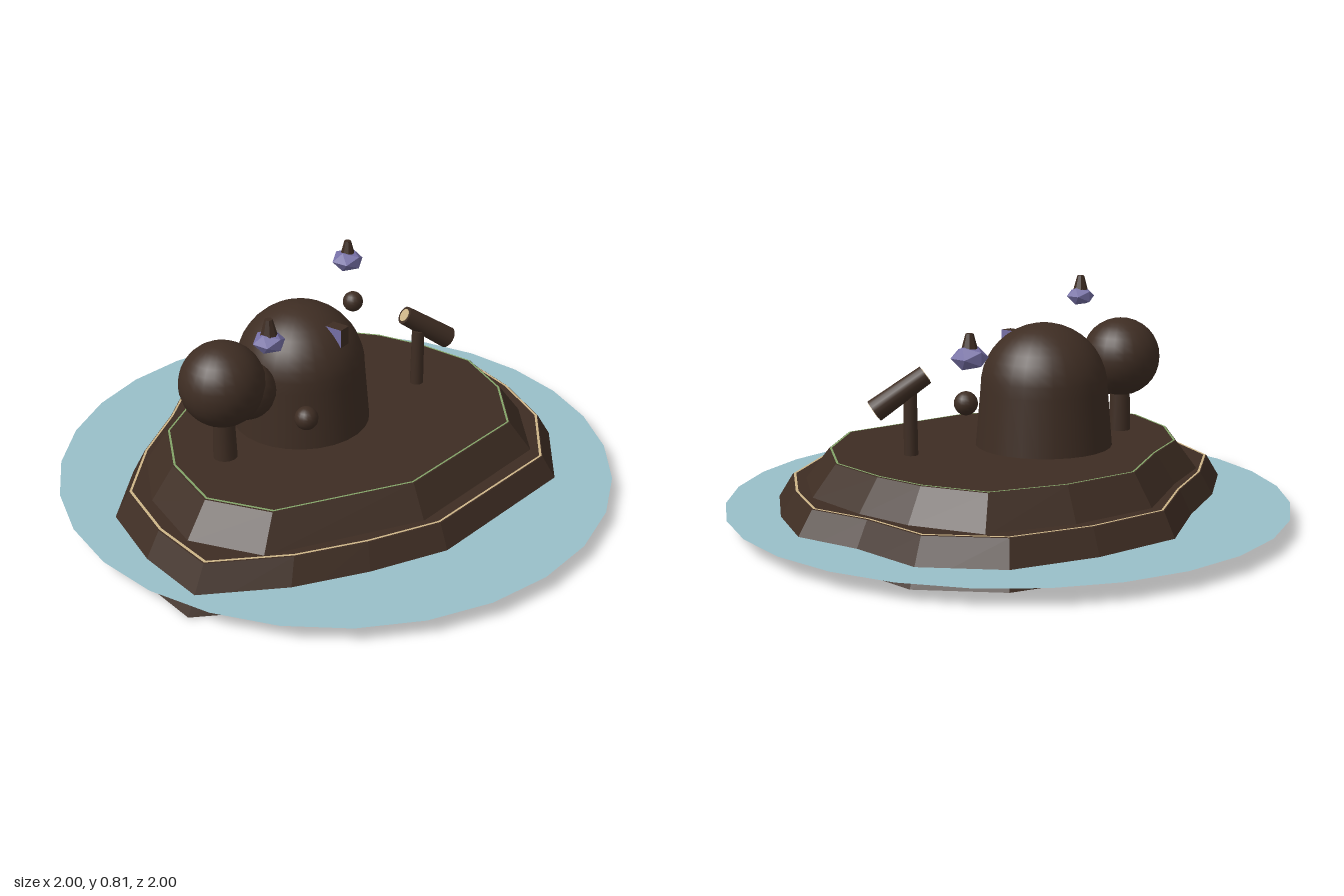
import * as THREE from 'three';

const mat = (name, color, extra = {}) => {
  const m = new THREE.MeshStandardMaterial({ color, ...extra });
  m.name = name;
  return m;
};

export function createModel() {
  const group = new THREE.Group();
  const brown = mat('dark brown', 0x3e2d23);
  const rock = mat('faceted brown', 0x3e2d23, { flatShading: true });
  const sand = mat('sand', 0xcdb588, { side: THREE.DoubleSide });
  const grass = mat('grass', 0x82a368, { side: THREE.DoubleSide });
  const violet = mat('violet', 0x7670a6, { flatShading: true });
  const water = mat('water', 0x99bfc9, { side: THREE.DoubleSide });

  const add = (name, geometry, material, x = 0, y = 0, z = 0, parent = group) => {
    const mesh = new THREE.Mesh(geometry, material);
    mesh.name = name;
    mesh.position.set(x, y, z);
    parent.add(mesh);
    return mesh;
  };

  // Skin through scaled copies of one outline; each ring is [height, scale]
  const loft = (outline, rings) => {
    const pos = [];
    const n = outline.length;
    const at = ([y, s], i) => [outline[i % n][0] * s, y, outline[i % n][1] * s];
    for (let r = 0; r < rings.length - 1; r++) {
      const lo = rings[r], hi = rings[r + 1];
      for (let i = 0; i < n; i++) {
        if (lo[1] > 0) pos.push(...at(lo, i + 1), ...at(lo, i), ...at(hi, i));
        if (hi[1] > 0) pos.push(...at(lo, i + 1), ...at(hi, i), ...at(hi, i + 1));
      }
    }
    const g = new THREE.BufferGeometry();
    g.setAttribute('position', new THREE.Float32BufferAttribute(pos, 3));
    g.computeVertexNormals();
    return g;
  };

  // Water sheet
  add('waterSheet', new THREE.CircleGeometry(1, 28).rotateX(-Math.PI / 2), water, 0, 0.083, 0);

  // Two island tiers, clockwise outlines as [x, z]
  const shore = [
    [0, -0.75], [0.31, -0.7], [0.59, -0.59], [0.77, -0.37], [0.78, -0.11], [0.835, 0.12],
    [0.74, 0.35], [0.59, 0.57], [0.32, 0.73], [-0.28, 0.645], [-0.52, 0.505], [-0.73, 0.35],
    [-0.935, 0.13], [-0.88, -0.12], [-0.765, -0.37], [-0.52, -0.52], [-0.26, -0.62],
  ];
  const plateau = [
    [0, -0.578], [0.27, -0.53], [0.51, -0.42], [0.6, -0.21], [0.625, -0.03], [0.615, 0.2],
    [0.49, 0.4], [0.28, 0.555], [-0.25, 0.49], [-0.65, 0.22], [-0.718, 0], [-0.625, -0.22],
    [-0.465, -0.39], [-0.26, -0.46],
  ];
  add('lowerTier', loft(shore, [[0.025, 0], [0.025, 1.045], [0.165, 0.94], [0.165, 0]]), rock);
  add('upperTier', loft(plateau, [[0.16, 1.14], [0.27, 1.005], [0.27, 0]]), rock);

  // Thin coloured edges
  add('sandEdge', loft(shore, [[0.167, 0.936], [0.167, 0.925]]), sand);
  add('sandUnderEdge', loft(shore, [[0.023, 1.02], [0.023, 1.032]]), sand);
  add('grassEdge', loft(plateau, [[0.272, 1.0], [0.272, 0.988]]), grass);

  // Domed hut: tapered wall running into a hemisphere
  const profile = [[0.245, 0.265], [0.227, 0.47]];
  for (let i = 1; i <= 10; i++) {
    const a = (i / 10) * Math.PI / 2;
    profile.push([0.227 * Math.cos(a), 0.475 + 0.23 * Math.sin(a)]);
  }
  const curve = profile.map(([r, y]) => new THREE.Vector2(Math.max(r, 0), y));
  add('domedHut', new THREE.LatheGeometry(curve, 28), brown, -0.1, 0, -0.08);
  add('hutLamp', new THREE.BoxGeometry(0.045, 0.065, 0.07),
    [violet, violet, brown, brown, brown, violet], -0.1, 0.632, 0.075);

  // Round tree
  add('treeTrunk', new THREE.CylinderGeometry(0.036, 0.042, 0.18, 14), brown, -0.475, 0.355, -0.12);
  add('treeCrown', new THREE.SphereGeometry(0.145, 24, 16), brown, -0.475, 0.547, -0.12);
  add('treeSideCrown', new THREE.SphereGeometry(0.1, 20, 14), brown, -0.4, 0.502, -0.08);

  // Floating balls
  for (const [x, z] of [[-0.435, 0.195], [0.39, -0.195]]) {
    add('floatingBall', new THREE.SphereGeometry(0.039, 16, 12), brown, x, 0.502, z);
  }

  // Hovering crystals with tapered caps
  for (const [x, y, z, r] of [[-0.472, 0.757, 0.08, 0.054], [0.41, 0.657, -0.235, 0.062]]) {
    const crystal = new THREE.Group();
    crystal.name = 'hoveringCrystal';
    crystal.position.set(x, y, z);
    group.add(crystal);
    add('crystalBody', new THREE.IcosahedronGeometry(r, 0).scale(1, 0.68, 1), violet, 0, 0, 0, crystal);
    add('crystalCap', new THREE.CylinderGeometry(0.013, 0.028, 0.055, 8), rock, 0, 0.05, 0, crystal);
  }

  // Telescope on a post
  add('telescopePost', new THREE.CylinderGeometry(0.023, 0.025, 0.22, 14), brown, 0.35, 0.375, 0.125);
  const eye = new THREE.Vector3(0.312, 0.55, 0.088);
  const lens = new THREE.Vector3(0.458, 0.43, 0.188);
  const length = eye.distanceTo(lens);
  const telescope = new THREE.Group();
  telescope.name = 'telescope';
  telescope.position.copy(eye).lerp(lens, 0.5);
  telescope.quaternion.setFromUnitVectors(
    new THREE.Vector3(0, 1, 0), lens.clone().sub(eye).normalize());
  group.add(telescope);
  add('telescopeTube', new THREE.CylinderGeometry(0.04, 0.034, length, 16), brown, 0, 0, 0, telescope);
  add('telescopeLens', new THREE.CylinderGeometry(0.031, 0.031, 0.004, 16), sand, 0, length / 2, 0, telescope);
  add('telescopeEyepiece', new THREE.CylinderGeometry(0.024, 0.024, 0.004, 16), sand, 0, -length / 2, 0, telescope);

  return group;
}
